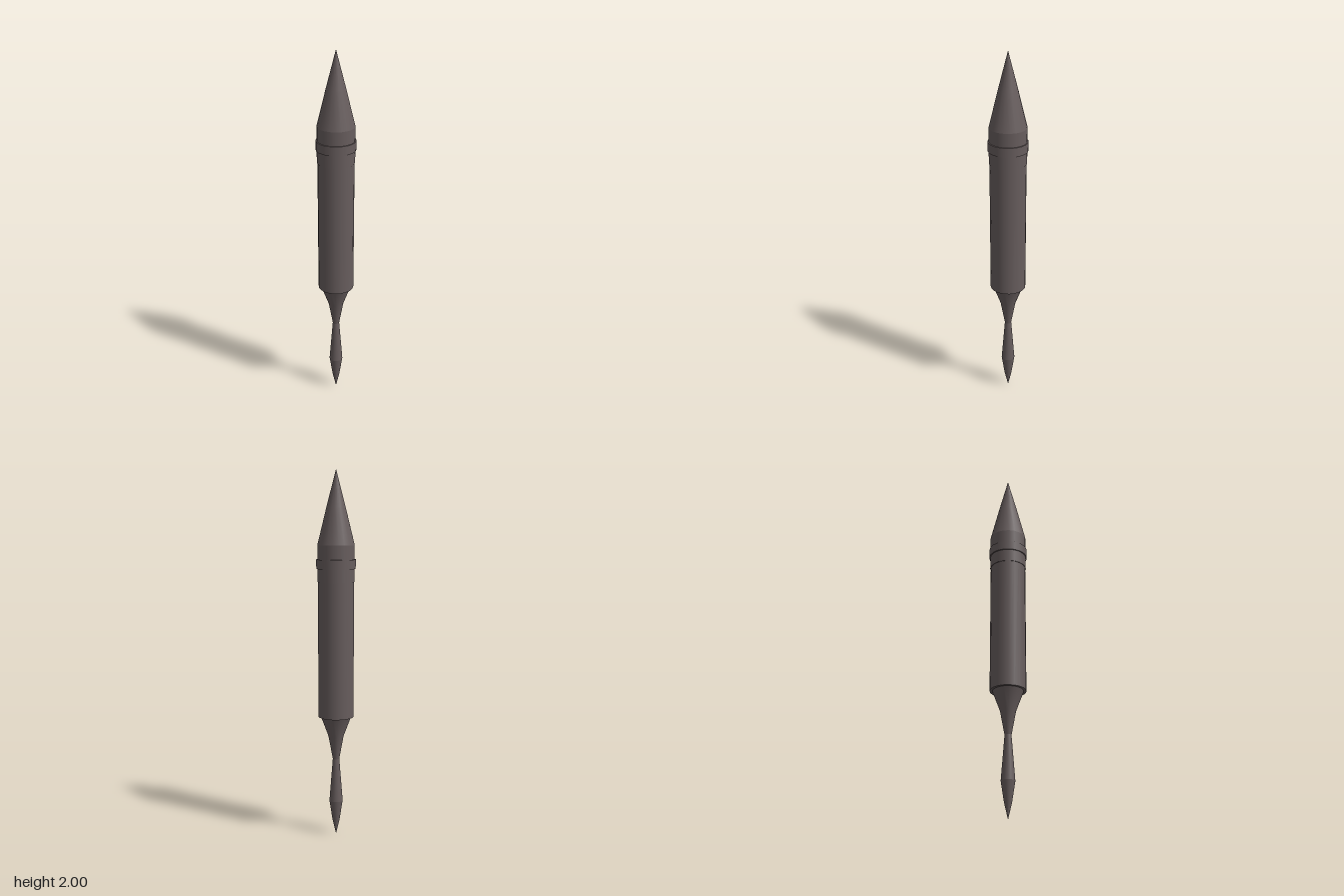
import * as THREE from 'three';

const SIDES = 20;

export function createModel() {
  const group = new THREE.Group();
  const material = new THREE.MeshStandardMaterial({ color: 0x675d5d });

  // Turned part from [radius, height] points, listed from bottom to top
  function turned(name, profile) {
    const points = profile.map(([r, y]) => new THREE.Vector2(r, y));
    const mesh = new THREE.Mesh(new THREE.LatheGeometry(points, SIDES), material);
    mesh.name = name;
    group.add(mesh);
  }

  // Straight drum with flat ends
  function drum(name, radius, bottom, top) {
    const geometry = new THREE.CylinderGeometry(radius, radius, top - bottom, SIDES);
    const mesh = new THREE.Mesh(geometry, material);
    mesh.position.y = (top + bottom) / 2;
    mesh.name = name;
    group.add(mesh);
  }

  // Pointed nose and the sleeve that grips the barrel
  turned('noseCone', [[0.1, 1.605], [0.052, 1.8], [0, 2]]);
  drum('noseSleeve', 0.1, 1.41, 1.605);
  drum('collarRing', 0.106, 1.48, 1.53);

  // Long barrel
  drum('barrel', 0.097, 0.675, 1.5);

  // Flared neck narrowing to a waist
  turned('neck', [[0.018, 0.435], [0.042, 0.565], [0.083, 0.675]]);

  // Slim pointed tail with a bulge
  turned('tailShaft', [[0.037, 0.195], [0.018, 0.435]]);
  turned('tailTip', [[0, 0], [0.02, 0.085], [0.037, 0.195]]);

  return group;
}
